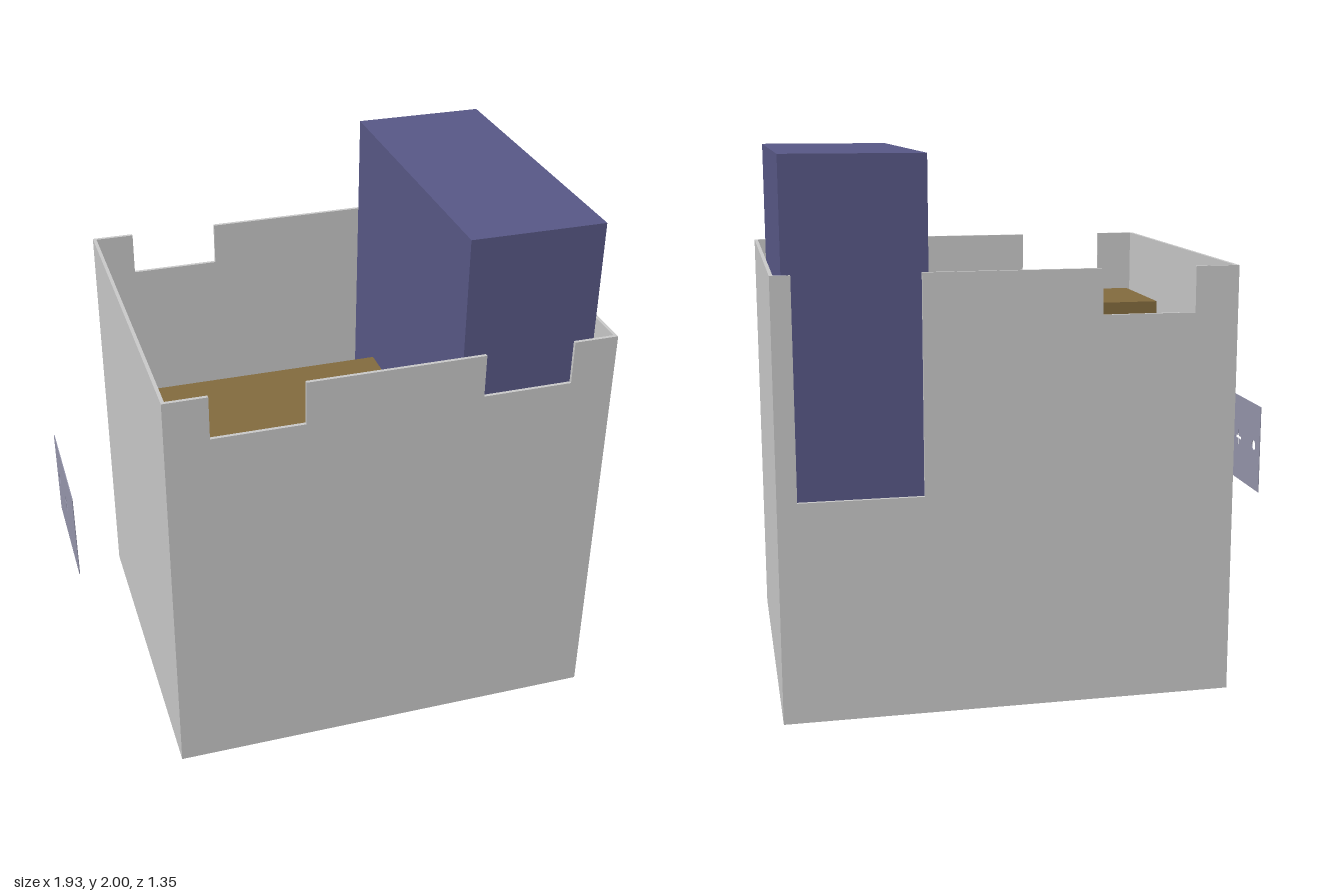
import * as THREE from 'three';

const grey = new THREE.MeshStandardMaterial({ color: 0xcccccc });
const blue = new THREE.MeshStandardMaterial({ color: 0x595988 });
const brown = new THREE.MeshStandardMaterial({ color: 0x846c3f });
const panelGrey = new THREE.MeshStandardMaterial({ color: 0x9898ae });

// Outer limits of the open case and its wall thickness
const X0 = -0.69, X1 = 0.966, Z0 = -0.675, Z1 = 0.675, H = 1.6, T = 0.013;

// Box given by its minimum and maximum on each axis
function block(name, material, [x0, x1], [y0, y1], [z0, z1]) {
  const mesh = new THREE.Mesh(new THREE.BoxGeometry(x1 - x0, y1 - y0, z1 - z0), material);
  mesh.position.set((x0 + x1) / 2, (y0 + y1) / 2, (z0 + z1) / 2);
  mesh.name = name;
  return mesh;
}

// Wall with rectangular notches [left, right, bottom] cut into its top edge
function notchedWall(name, z, notches) {
  const shape = new THREE.Shape();
  shape.moveTo(X0, 0);
  shape.lineTo(X0, H);
  for (const [a, b, y] of notches) {
    shape.lineTo(a, H);
    shape.lineTo(a, y);
    shape.lineTo(b, y);
    shape.lineTo(b, H);
  }
  shape.lineTo(X1, H);
  shape.lineTo(X1, 0);
  shape.closePath();
  const mesh = new THREE.Mesh(new THREE.ExtrudeGeometry(shape, { depth: T, bevelEnabled: false }), grey);
  mesh.position.z = z;
  mesh.name = name;
  return mesh;
}

// Thin loose plate with a small round hole and a cross-shaped slot
function sidePanel() {
  const shape = new THREE.Shape();
  shape.moveTo(-0.235, 0.63);
  shape.lineTo(0.23, 0.63);
  shape.lineTo(0.23, 0.98);
  shape.lineTo(-0.235, 0.98);
  shape.closePath();

  const round = new THREE.Path();
  round.absarc(-0.17, 0.81, 0.02, 0, Math.PI * 2, true);

  const cross = new THREE.Path();
  const arm = 0.032, half = 0.006;
  const corners = [];
  for (let i = 0; i < 4; i++) {
    const c = Math.round(Math.cos(i * Math.PI / 2)), s = Math.round(Math.sin(i * Math.PI / 2));
    for (const [u, v] of [[arm, -half], [arm, half], [half, half]]) {
      corners.push(new THREE.Vector2(u * c - v * s, 0.806 + u * s + v * c));
    }
  }
  cross.setFromPoints(corners);
  cross.closePath();
  shape.holes.push(round, cross);

  const mesh = new THREE.Mesh(
    new THREE.ExtrudeGeometry(shape, { depth: 0.003, bevelEnabled: false, curveSegments: 8 }), panelGrey);
  mesh.rotation.y = -Math.PI / 2;
  mesh.position.x = -0.964;
  mesh.name = 'sidePanel';
  return mesh;
}

export function createModel() {
  const model = new THREE.Group();
  model.name = 'openCase';

  // Case: floor, plain sides, notched front and back
  const inner = [Z0 + T, Z1 - T];
  model.add(
    block('floor', grey, [X0 + T, X1 - T], [0, T], inner),
    block('rightWall', grey, [X0, X0 + T], [0, H], inner),
    block('leftWall', grey, [X1 - T, X1], [0, H], inner),
    notchedWall('frontWall', Z1 - T, [[-0.53, -0.19, 1.435], [0.465, 0.8, 1.435]]),
    notchedWall('backWall', Z0, [[-0.53, -0.19, 1.435], [0.45, 0.895, 0.81]])
  );

  // Blocks standing inside the case
  model.add(
    block('tallBlock', blue, [0.42, 0.925], [T, 2], [-0.62, 0.575]),
    block('lowBlock', brown, [-0.65, 0.225], [T, 1.36], [0.165, 0.615])
  );

  model.add(sidePanel());
  return model;
}
